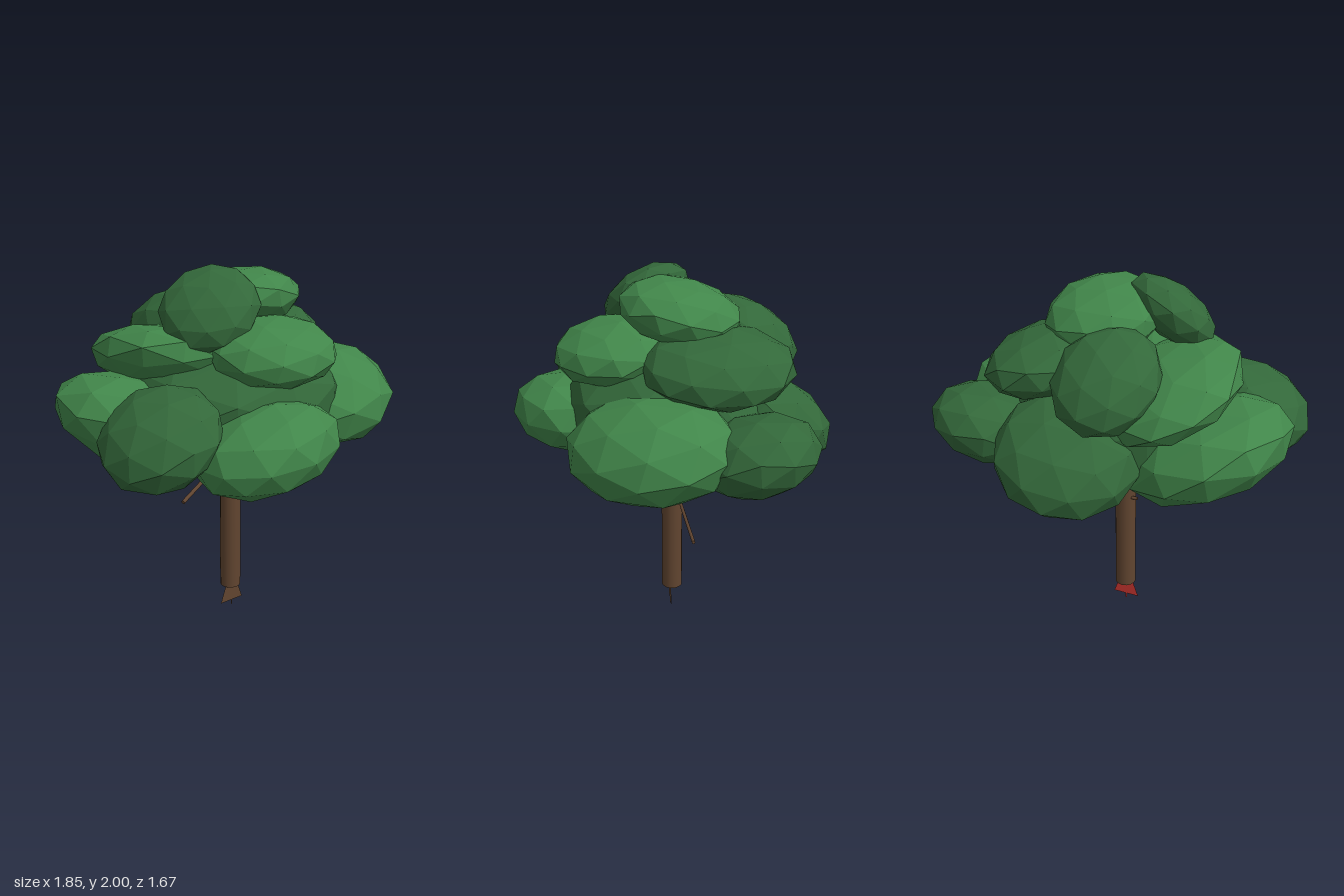
import * as THREE from 'three';

const mat = (name, color, extra = {}) => {
  const m = new THREE.MeshStandardMaterial({ color, ...extra });
  m.name = name;
  return m;
};

export function createModel() {
  const tree = new THREE.Group();
  tree.name = 'tree';

  const light = mat('light leaf green', 0x41864a, { flatShading: true });
  const mid = mat('mid leaf green', 0x33683a, { flatShading: true });
  const bark = mat('bark brown', 0x614530);
  const rootRed = mat('root back red', 0xcc3630);

  const add = (parent, name, geometry, material) => {
    const mesh = new THREE.Mesh(geometry, material);
    mesh.name = name;
    parent.add(mesh);
    return mesh;
  };

  // Leaf clumps: faceted ellipsoids [name, material, centre, radii, rotation]
  const clumps = [
    ['innerCrown', mid, [0, 1.3, 0], [0.62, 0.36, 0.57], [0, 0, 0]],
    ['lowerFrontClump', light, [-0.175, 1.195, 0.52], [0.395, 0.22, 0.32], [-0.15, 0, 0.15]],
    ['lowerLeftClump', light, [0.51, 1.255, 0.15], [0.45, 0.255, 0.39], [0.12, Math.PI / 4, 0]],
    ['lowerBackLeftClump', mid, [0.61, 1.235, -0.35], [0.32, 0.2, 0.31], [0.2, 0, 0.2]],
    ['lowerFrontRightClump', mid, [-0.64, 1.285, 0.29], [0.31, 0.2, 0.32], [0.15, 0, 0.5]],
    ['lowerBackRightClump', light, [-0.5, 1.215, -0.15], [0.46, 0.24, 0.43], [0, 0, -0.4]],
    ['lowerBackClump', mid, [0.09, 1.24, -0.51], [0.38, 0.21, 0.36], [-0.5, 0, 0.15]],
    ['middleFrontClump', light, [0.03, 1.6, 0.29], [0.345, 0.165, 0.32], [0.1, 0, 0]],
    ['middleLeftClump', mid, [0.33, 1.59, -0.2], [0.32, 0.17, 0.39], [0, 0, -0.2]],
    ['middleRightClump', light, [-0.32, 1.52, -0.17], [0.37, 0.165, 0.42], [-0.25, 0, -0.3]],
    ['middleBackClump', mid, [-0.08, 1.62, -0.41], [0.27, 0.18, 0.31], [-0.55, 0, 0]],
    ['topLeftClump', light, [0.09, 1.805, -0.04], [0.305, 0.16, 0.32], [-0.2, 0, -0.05]],
    ['topRightClump', mid, [-0.215, 1.812, 0.1], [0.26, 0.135, 0.25], [0.5, 0, 0.5]],
  ];
  const crown = new THREE.Group();
  crown.name = 'crown';
  tree.add(crown);
  clumps.forEach(([name, material, centre, radii, rotation], i) => {
    const g = new THREE.IcosahedronGeometry(1, 1);
    g.rotateY(i * 1.3).rotateX(i * 0.7); // vary the facets
    g.scale(...radii);
    const mesh = add(crown, name, g, material);
    mesh.position.set(...centre);
    mesh.rotation.set(...rotation);
  });

  // Trunk
  const trunk = add(tree, 'trunk', new THREE.CylinderGeometry(0.058, 0.058, 1.16, 14), bark);
  trunk.position.set(-0.008, 0.72, -0.01);

  // Thin straight branches between two points
  const branch = (name, from, to, radius) => {
    const a = new THREE.Vector3(...from), b = new THREE.Vector3(...to);
    const dir = b.clone().sub(a);
    const mesh = add(tree, name, new THREE.CylinderGeometry(radius, radius, dir.length(), 8), bark);
    mesh.position.copy(a).add(b).multiplyScalar(0.5);
    mesh.quaternion.setFromUnitVectors(new THREE.Vector3(0, 1, 0), dir.normalize());
  };
  branch('leftBranch', [-0.09, 0.74, -0.034], [0.55, 0.74, -0.055], 0.009);
  branch('rightBranch', [0.03, 0.995, -0.005], [-0.43, 0.84, 0.155], 0.011);
  branch('backBranch', [0, 1.02, 0], [-0.03, 0.935, -0.15], 0.01);

  // Flat flared root with a short tip: brown front face, red back face
  const rootOutline = [
    [-0.045, 0.14], [-0.083, 0.03], [-0.012, 0.03], [-0.012, 0],
    [-0.003, 0], [-0.003, 0.03], [0.069, 0.03], [0.032, 0.14],
  ];
  const rootFace = (mirror) => new THREE.ShapeGeometry(
    new THREE.Shape(rootOutline.map(([x, y]) => new THREE.Vector2(x * mirror, y))));
  add(tree, 'rootFront', rootFace(1), bark);
  add(tree, 'rootBack', rootFace(-1).rotateY(Math.PI), rootRed);

  return tree;
}
